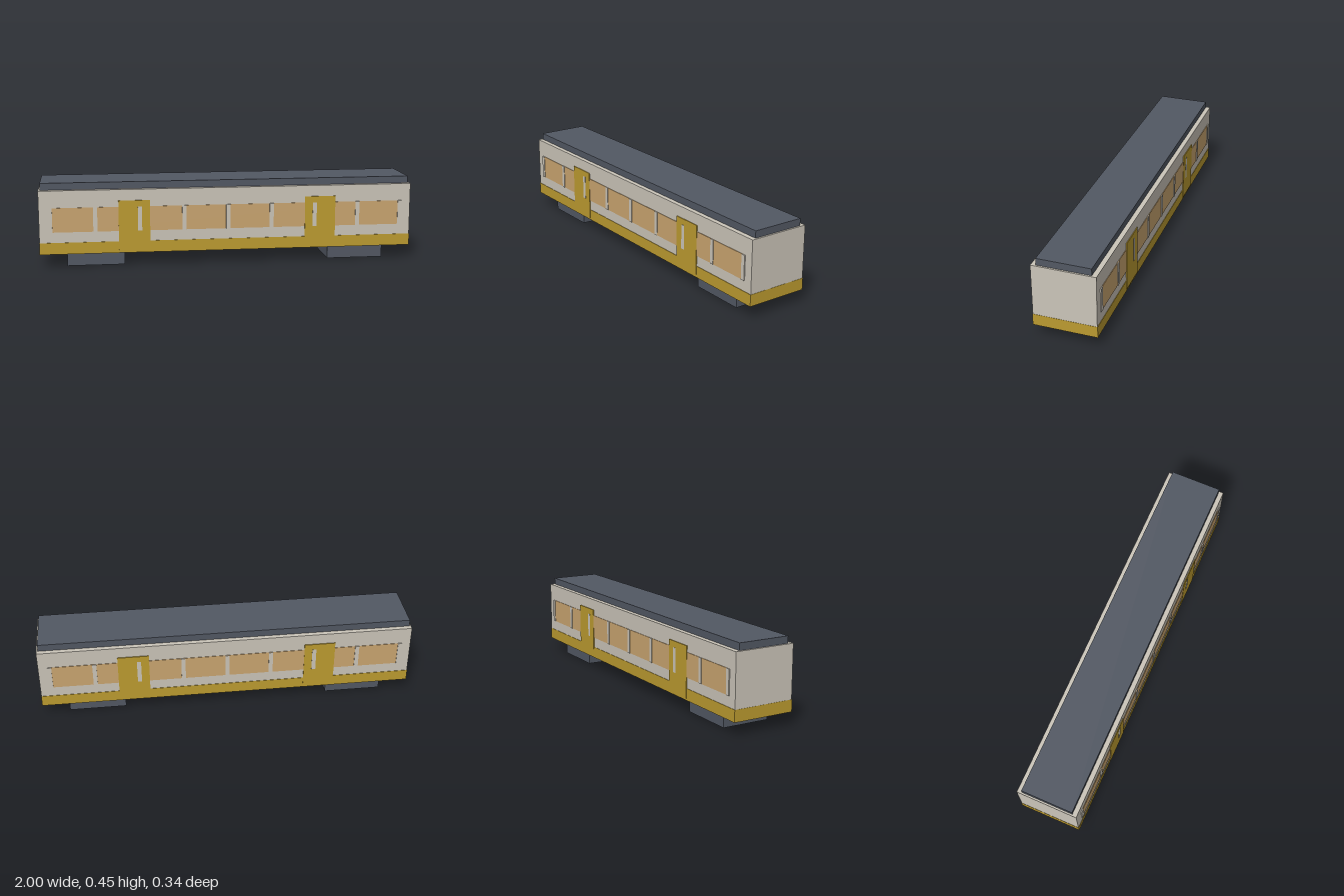
import * as THREE from 'three';

const paint = (name, color) => {
  const material = new THREE.MeshStandardMaterial({ color });
  material.name = name;
  return material;
};

export function createModel() {
  const cream = paint('cream paint', 0xcbc5b9);
  const mustard = paint('mustard paint', 0xbc9b30);
  const slate = paint('slate grey', 0x525863);
  const amber = paint('amber glass', 0xcaa570);

  const model = new THREE.Group();
  model.name = 'railwayCar';

  // Box given by its limits on each axis
  const box = (name, material, [x0, x1], [y0, y1], [z0, z1]) => {
    const geometry = new THREE.BoxGeometry(x1 - x0, y1 - y0, z1 - z0);
    const mesh = new THREE.Mesh(geometry, material);
    mesh.position.set((x0 + x1) / 2, (y0 + y1) / 2, (z0 + z1) / 2);
    mesh.name = name;
    model.add(mesh);
  };

  // Plate on one long side, from the body skin out to a given depth
  const skin = 0.165;
  const plate = (name, material, x, y, depth, side) =>
    box(name, material, x, y, side > 0 ? [skin - 0.002, depth] : [-depth, -skin + 0.002]);

  // Body shell and raised roof
  box('body', cream, [-0.999, 0.999], [0.072, 0.412], [-skin, skin]);
  box('roof', slate, [-0.99, 0.99], [0.412, 0.449], [-0.14, 0.14]);

  for (const end of [-1, 1]) {
    // Wheel truck and lower band on each end
    const truck = [0.552 * end, 0.857 * end].sort((a, b) => a - b);
    box('wheelTruck', slate, truck, [0, 0.072], [-0.13, 0.13]);
    box('endBand', mustard, end > 0 ? [0.997, 1] : [-1, -0.997], [0.072, 0.134], [-skin, skin]);
  }

  for (const side of [-1, 1]) {
    // Lower band and the long window strip
    plate('sideBand', mustard, [-1, 1], [0.072, 0.134], 0.1672, side);
    plate('windowStrip', amber, [-0.93, 0.93], [0.19, 0.32], 0.1675, side);

    // Doors
    for (const x of [-0.5, 0.5]) {
      plate('door', mustard, [x - 0.083, x + 0.083], [0.083, 0.353], 0.1695, side);
    }

    // Pillars between the windows
    for (let i = -4; i <= 4; i++) {
      const x = i * 0.2352;
      plate('windowPillar', cream, [x - 0.011, x + 0.011], [0.19, 0.32], 0.1705, side);
    }
  }

  return model;
}
